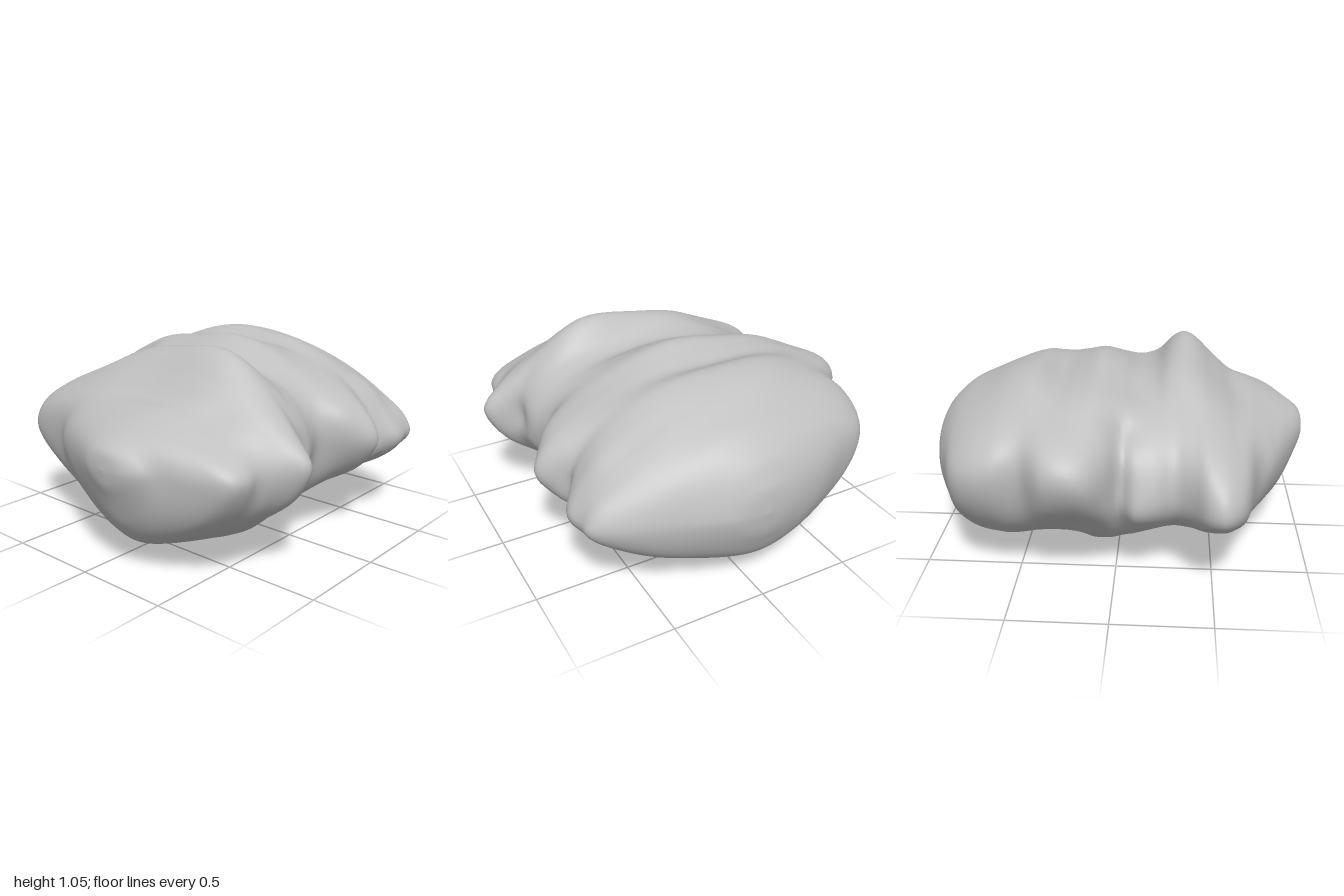
import * as THREE from 'three';

// Outline curves along x, as flat [x, value] pairs
const TOP = [-1, .57, -.99, .64, -.96, .68, -.9, .715, -.8, .765, -.7, .805, -.6, .825, -.5, .915, -.4, 1.025, -.33, 1.055,
  -.26, 1.02, -.19, .945, -.1, .915, 0, .97, .1, 1.02, .2, .99, .3, .96, .42, .995, .55, .97, .7, .9, .82, .84, .92, .75,
  .97, .66, .99, .6, 1, .5];
const BOTTOM = [-1, .57, -.99, .5, -.96, .42, -.9, .27, -.8, .15, -.7, .115, -.5, .105, -.3, .08, -.1, .04, .02, .015,
  .11, .02, .2, .075, .3, .11, .4, .13, .55, .09, .7, .08, .8, .12, .9, .2, .97, .34, .99, .41, 1, .5];
const FRONT = [-1, .15, -.99, .25, -.96, .33, -.9, .42, -.85, .57, -.79, .72, -.7, .77, -.6, .77, -.5, .83, -.43, .89,
  -.37, .87, -.31, .78, -.2, .75, -.1, .7, 0, .68, .1, .77, .2, .85, .25, .87, .31, .83, .37, .76, .45, .79, .55, .83,
  .65, .81, .73, .79, .8, .67, .9, .4, .97, .21, .99, .12, 1, 0];
const BACK = [-1, .15, -.99, .06, -.96, -.02, -.9, -.15, -.8, -.36, -.71, -.5, -.65, -.75, -.6, -.85, -.53, -.9,
  -.45, -.86, -.38, -.76, -.3, -.7, -.2, -.75, -.1, -.75, -.03, -.7, .04, -.8, .11, -.87, .22, -.9, .33, -.88, .44, -.78,
  .58, -.8, .7, -.77, .8, -.69, .86, -.54, .93, -.37, .97, -.22, .99, -.12, 1, 0];
// Height of the front and back tips, and z of the crest
const FRONT_TIP = [-1, .57, -.45, .57, .1, .57, .6, .49, 1, .5];
const BACK_TIP = [-1, .57, -.55, .5, -.15, .52, .2, .68, .5, .63, .8, .59, 1, .5];
const CREST = [-1, .15, -.6, .15, -.33, .25, -.1, .05, .2, -.05, .55, -.12, .85, -.06, 1, 0];

// Local knobs and hollows: x, y, z, radius, push
const KNOBS = [
  [-.28, .58, .76, .1, -.05], [.35, .52, .77, .1, -.04], [-.08, .45, -.72, .09, .03],
  [-.03, .8, -.58, .1, -.06], [-.55, .75, .5, .12, -.04], [-.42, .62, .88, .08, .02],
  [.2, .35, -.65, .14, -.03], [.52, .72, .6, .11, .03], [.1, .68, .68, .12, .03],
  [-.3, .35, .62, .1, -.03], [.68, .6, .72, .09, .02], [.4, .32, .6, .1, -.03], [-.72, .6, .65, .1, .02],
];

// Smooth interpolation through the pairs
function sample(c, x) {
  const n = c.length / 2;
  let k = 0;
  while (k < n - 2 && x > c[2 * k + 2]) k++;
  const slope = i => {
    const a = Math.max(i - 1, 0), b = Math.min(i + 1, n - 1);
    return (c[2 * b + 1] - c[2 * a + 1]) / (c[2 * b] - c[2 * a]);
  };
  const h = c[2 * k + 2] - c[2 * k], t = (x - c[2 * k]) / h, u = 1 - t;
  return c[2 * k + 1] * (1 + 2 * t) * u * u + c[2 * k + 3] * t * t * (3 - 2 * t)
    + h * (slope(k) * t * u * u - slope(k + 1) * t * t * u);
}

// Outline with its lobes averaged away, except near the extreme where detail is 1
function reach(c, x, detail) {
  const w = .1 * Math.min(1, (1 - Math.abs(x)) / .4);
  let soft = 0;
  for (let k = -2; k <= 2; k++) soft += sample(c, x + k * w) / 5;
  return THREE.MathUtils.lerp(soft, sample(c, x), detail);
}

// Point on the lens-shaped cross-section at x; angle runs from front over the top
function sectionPoint(x, angle) {
  const c = Math.cos(angle), s = Math.sin(angle);
  // The left end slopes flatter in front and is fuller below
  const leftEnd = THREE.MathUtils.smoothstep(x, .25, .6);
  const power = s < 0 ? 1.7 + leftEnd * (.12 - .12 * c) : 2 - .2 * c - leftEnd * .3 * Math.max(c, 0);
  const cz = Math.pow(Math.abs(c), 2 / power), sy = Math.pow(Math.abs(s), 2 / power);
  const crest = sample(CREST, x);
  const mid = THREE.MathUtils.lerp(sample(BACK_TIP, x), sample(FRONT_TIP, x), (c + 1) / 2);
  return new THREE.Vector3(x,
    mid + sy * (reach(s < 0 ? BOTTOM : TOP, x, sy ** 4) - mid),
    crest + cz * (reach(c < 0 ? BACK : FRONT, x, cz ** 4) - crest));
}

function surfacePoint(x, angle) {
  // Averaging around the section rounds off the front and back tips
  const p = new THREE.Vector3();
  for (let k = -2; k <= 2; k++) p.addScaledVector(sectionPoint(x, angle + k * .1), (3 - Math.abs(k)) / 9);
  const out = new THREE.Vector3(0, p.y - .53, p.z).normalize();
  // Gentle unevenness that fades at both ends
  let push = .008 * (1 - x * x) * (1 + Math.sin(11 * x + 9 * p.y) + Math.sin(10 * p.z - 7 * x + 8 * p.y));
  for (const [kx, ky, kz, r, amount] of KNOBS) {
    const d2 = (x - kx) ** 2 + (p.y - ky) ** 2 + (p.z - kz) ** 2;
    push += amount * Math.exp(-d2 / (r * r));
  }
  p.addScaledVector(out, push);
  p.y = Math.max(p.y, 0);
  return p;
}

function boulderGeometry(rings = 150, sides = 80) {
  const positions = [-1, .57, .15], index = [];
  for (let i = 1; i < rings; i++) {
    // Rings crowd toward the rounded ends
    const x = -Math.cos(i / rings * Math.PI);
    for (let j = 0; j < sides; j++) positions.push(...surfacePoint(x, j / sides * Math.PI * 2).toArray());
  }
  positions.push(1, .5, 0);
  const last = positions.length / 3 - 1;
  const at = (i, j) => 1 + i * sides + j % sides;
  for (let j = 0; j < sides; j++) {
    index.push(0, at(0, j), at(0, j + 1));
    for (let i = 0; i < rings - 2; i++) {
      index.push(at(i, j), at(i + 1, j), at(i, j + 1), at(i + 1, j), at(i + 1, j + 1), at(i, j + 1));
    }
    index.push(last, at(rings - 2, j + 1), at(rings - 2, j));
  }
  const g = new THREE.BufferGeometry();
  g.setAttribute('position', new THREE.Float32BufferAttribute(positions, 3));
  g.setIndex(index);
  g.computeVertexNormals();
  return g;
}

export function createModel() {
  const stone = new THREE.MeshStandardMaterial({ color: 0xc0c0c0 });
  stone.name = 'stone grey';
  const boulder = new THREE.Mesh(boulderGeometry(), stone);
  boulder.name = 'boulder';
  const group = new THREE.Group();
  group.name = 'rock';
  group.add(boulder);
  return group;
}
